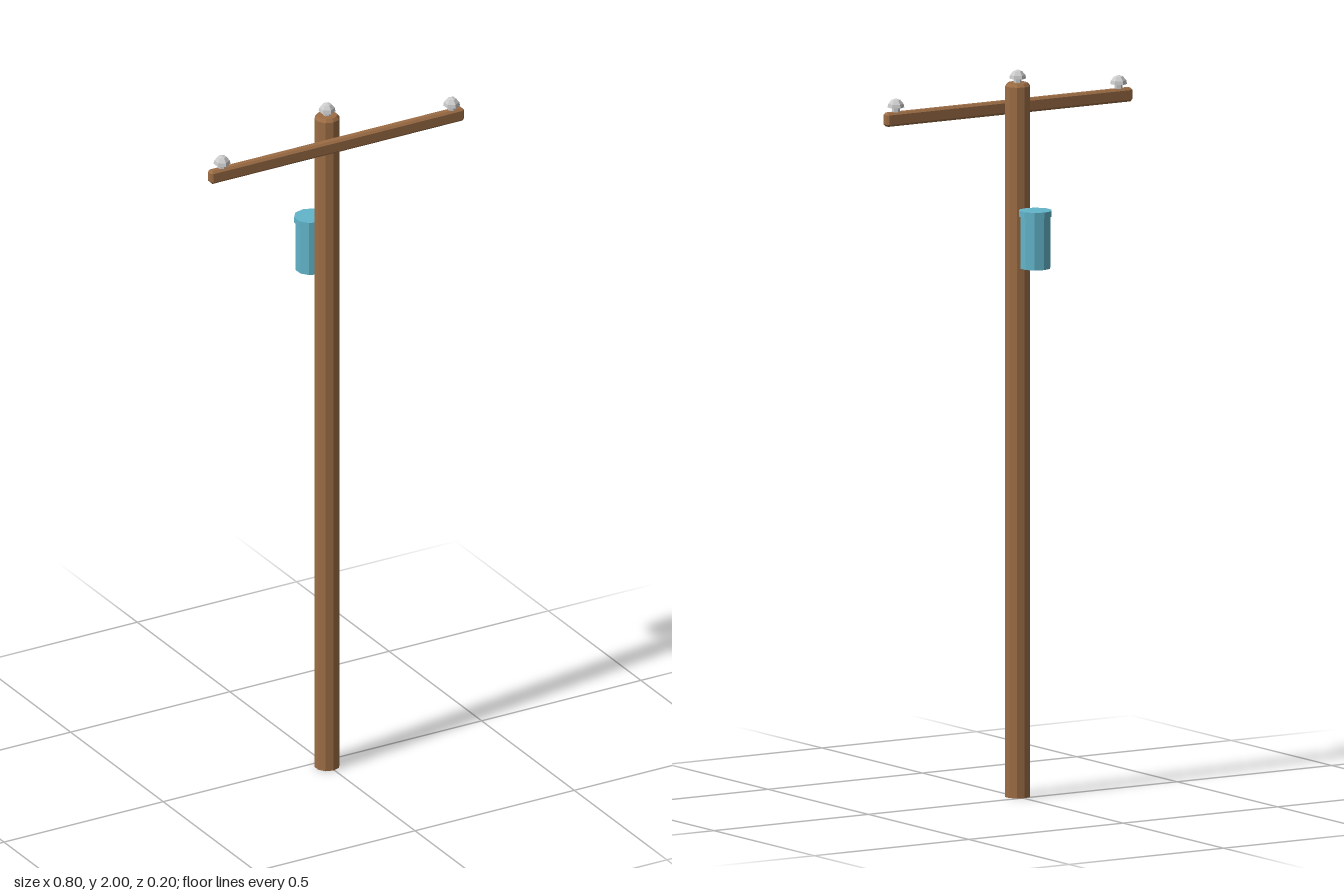
import * as THREE from 'three';
import { ConvexGeometry } from 'three/addons/geometries/ConvexGeometry.js';

const material = (color) => new THREE.MeshStandardMaterial({ color, flatShading: true });

// Closed low-poly turned part from [radius, height] pairs
function turned(profile, sides) {
  return new THREE.LatheGeometry(profile.map(([r, y]) => new THREE.Vector2(r, y)), sides);
}

// Box with every edge chamfered by c
function chamferedBox(w, h, d, c) {
  const half = [w / 2, h / 2, d / 2];
  const points = [];
  for (const sx of [-1, 1]) for (const sy of [-1, 1]) for (const sz of [-1, 1]) {
    for (let face = 0; face < 3; face++) {
      const [x, y, z] = half.map((v, axis) => (axis === face ? v : v - c));
      points.push(new THREE.Vector3(sx * x, sy * y, sz * z));
    }
  }
  return new ConvexGeometry(points);
}

export function createModel() {
  const model = new THREE.Group();
  const wood = material(0x9c6d45);
  const blue = material(0x62b4ca);
  const grey = material(0xcccccc);

  function add(name, geometry, mat, x, y, z) {
    const mesh = new THREE.Mesh(geometry, mat);
    mesh.name = name;
    mesh.position.set(x, y, z);
    model.add(mesh);
  }

  // Ten-sided pole with a chamfered top
  const poleX = -0.003, poleZ = 0.03;
  add('pole', turned([[0, 0], [0.035, 0], [0.035, 1.955], [0.028, 1.964], [0, 1.964]], 10),
    wood, poleX, 0, poleZ);

  // Crossarm on the front of the pole
  add('crossarm', chamferedBox(0.796, 0.038, 0.026, 0.006), wood, -0.001, 1.891, 0.075);

  // Mushroom-shaped insulators: one on the pole, one at each end of the arm
  const insulator = turned(
    [[0, 0], [0.011, 0], [0.011, 0.012], [0.023, 0.012], [0.021, 0.022], [0.012, 0.033], [0, 0.037]], 6);
  add('poleInsulator', insulator, grey, poleX, 1.963, poleZ);
  add('leftInsulator', insulator, grey, 0.362, 1.91, 0.075);
  add('rightInsulator', insulator, grey, -0.359, 1.91, 0.075);

  // Transformer can with an overhanging lid behind the pole
  add('transformer', turned(
    [[0, 1.465], [0.042, 1.465], [0.042, 1.608], [0.046, 1.608], [0.046, 1.624], [0, 1.624]], 10),
    blue, -0.005, 0, -0.055);

  return model;
}
